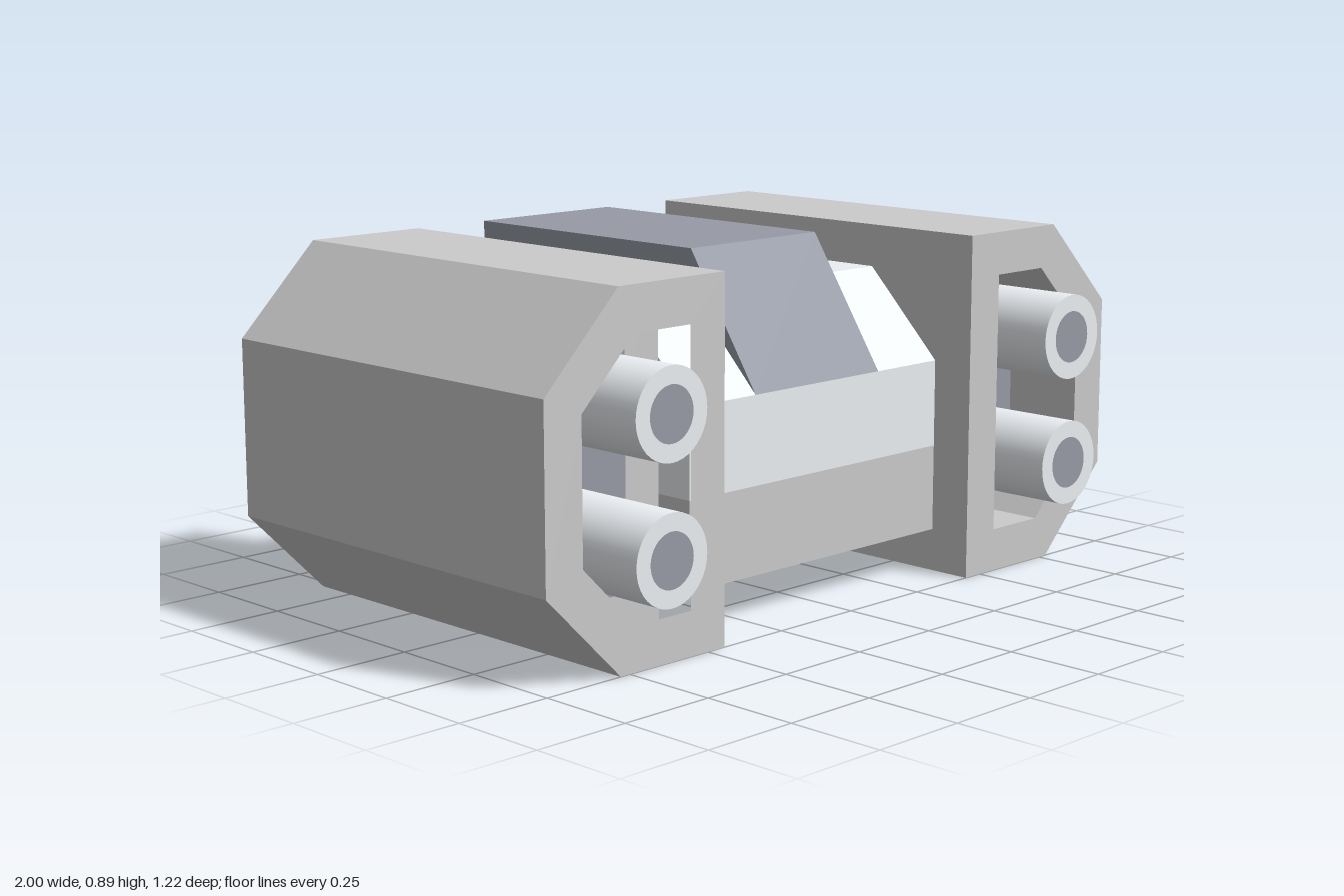
import * as THREE from 'three';

const grey = new THREE.MeshStandardMaterial({ color: 0xcccccc });
const light = new THREE.MeshStandardMaterial({ color: 0xecf0f4 });
const dark = new THREE.MeshStandardMaterial({ color: 0x979ba6 });

function add(parent, name, geometry, material) {
  const mesh = new THREE.Mesh(geometry, material);
  mesh.name = name;
  parent.add(mesh);
  return mesh;
}

const toPoints = (list) => list.map(([a, b]) => new THREE.Vector2(a, b));

// Upright outline, flat on the inner side and chamfered on the outer side
function podOutline(side, inner, outer, low, high, cut) {
  return toPoints([
    [inner, low], [outer - cut, low], [outer, low + cut],
    [outer, high - cut], [outer - cut, high], [inner, high],
  ].map(([x, y]) => [side * x, y]));
}

function extrudeZ(shape, z0, z1) {
  return new THREE.ExtrudeGeometry(shape, { depth: z1 - z0, bevelEnabled: false }).translate(0, 0, z0);
}

// Extrude a (z, y) side profile across the width, centred on x = 0
function extrudeAcross(profile, width) {
  return new THREE.ExtrudeGeometry(new THREE.Shape(toPoints(profile)), { depth: width, bevelEnabled: false })
    .translate(0, 0, -width / 2)
    .rotateY(-Math.PI / 2);
}

function makeBarrel(x, y) {
  const barrel = new THREE.Group();
  barrel.name = 'barrel';
  const back = 0.28, front = 0.61, radius = 0.11, bore = 0.067;
  const tube = new THREE.CylinderGeometry(radius, radius, front - back, 40, 1, true);
  add(barrel, 'barrelTube', tube.rotateX(Math.PI / 2).translate(0, 0, (front + back) / 2), light);
  add(barrel, 'barrelRim', new THREE.RingGeometry(bore, radius, 40).translate(0, 0, front), light);
  add(barrel, 'barrelBore', new THREE.CircleGeometry(bore, 40).translate(0, 0, front), dark);
  barrel.position.set(x, y, 0);
  return barrel;
}

function makePod(side) {
  const pod = new THREE.Group();
  pod.name = side > 0 ? 'leftPod' : 'rightPod';
  const outline = podOutline(side, 0.445, 1, 0, 0.89, 0.222);
  const opening = podOutline(side, 0.555, 0.89, 0.11, 0.78, 0.16);

  // Solid rear housing and hollow front collar
  add(pod, 'podHousing', extrudeZ(new THREE.Shape(outline), -0.61, 0.28), grey);
  const collar = new THREE.Shape(outline);
  collar.holes.push(new THREE.Path(opening));
  add(pod, 'podCollar', extrudeZ(collar, 0.28, 0.5), grey);

  // Dark panel at the bottom of the recess
  add(pod, 'recessPanel', new THREE.ShapeGeometry(new THREE.Shape(opening)).translate(0, 0, 0.282), dark);

  for (const y of [0.28, 0.612]) pod.add(makeBarrel(side * 0.722, y));
  return pod;
}

export function createModel() {
  const model = new THREE.Group();
  model.name = 'twinBarrelUnit';

  // Central bridge: grey base with a lighter, sloped upper body
  add(model, 'bridgeBase', extrudeAcross([[-0.5, 0.11], [0.385, 0.11], [0.385, 0.333], [-0.5, 0.333]], 0.89), grey);
  add(model, 'bridgeBody', extrudeAcross(
    [[-0.5, 0.333], [0.385, 0.333], [0.385, 0.557], [0.165, 0.78], [-0.5, 0.78]], 0.89), light);

  // Dark saddle block over the bridge, overhanging at the back
  add(model, 'saddleBlock', extrudeAcross(
    [[-0.61, 0.333], [-0.4, 0.333], [-0.4, 0.557], [0.385, 0.557], [0.165, 0.89], [-0.61, 0.89]], 0.445), dark);

  for (const side of [1, -1]) model.add(makePod(side));
  return model;
}
